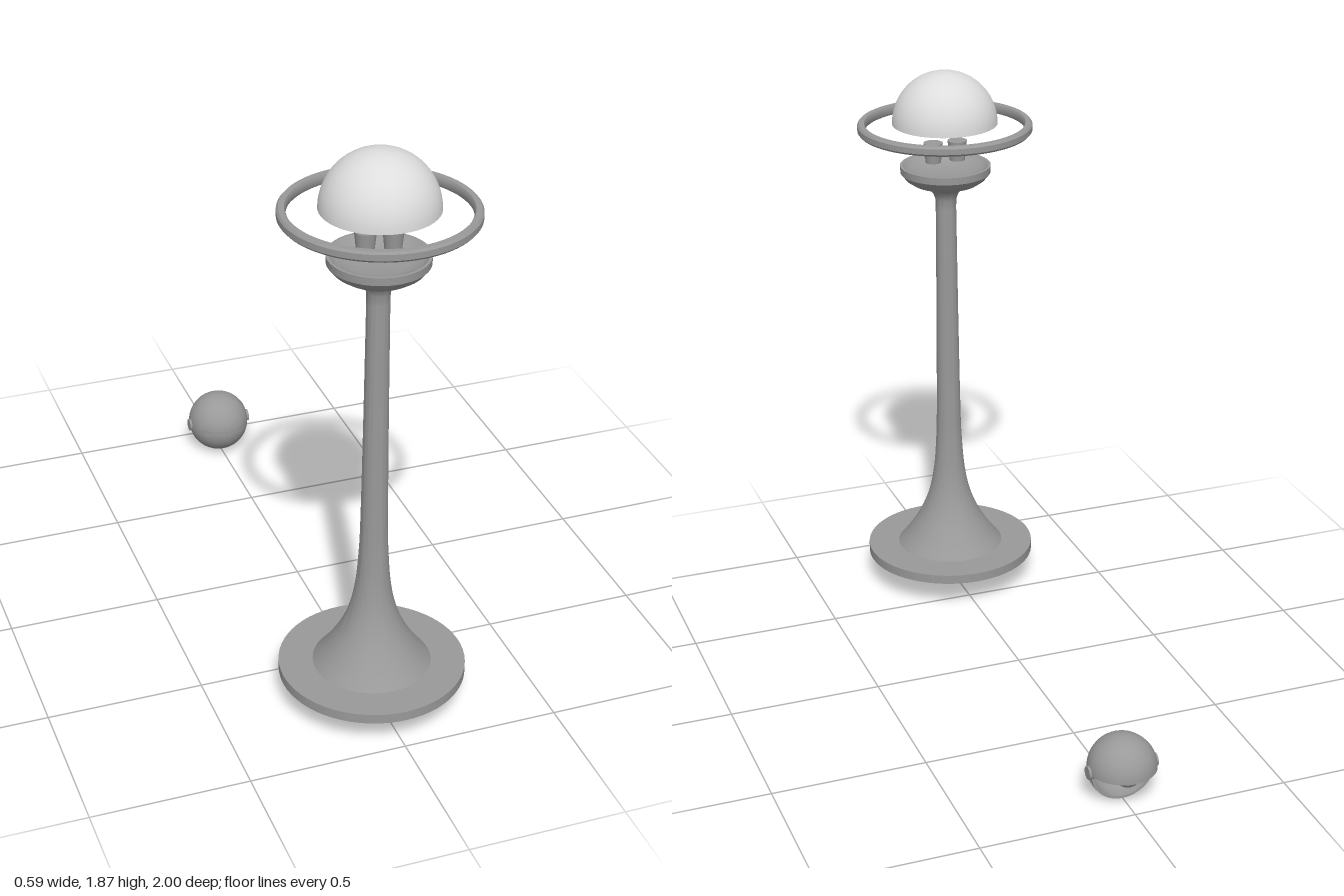
import * as THREE from 'three';
import { toCreasedNormals } from 'three/addons/utils/BufferGeometryUtils.js';

const body = new THREE.MeshStandardMaterial({ color: 0x999999, side: THREE.DoubleSide });
body.name = 'grey metal';
const glass = new THREE.MeshStandardMaterial({ color: 0xdddddd, side: THREE.DoubleSide });
glass.name = 'pale shade';

// Revolve a profile (bottom to top on the outside), keeping edges sharp
function lathe(points, segments = 64, start = 0, length = Math.PI * 2) {
  const profile = points.map(([x, y]) => new THREE.Vector2(x, y));
  return toCreasedNormals(new THREE.LatheGeometry(profile, segments, start, length), 0.6);
}

// Hollow hemisphere opening downwards, or a slice of one
function shell(radius, thickness, start, length) {
  const inner = radius - thickness, n = 16;
  const points = [[inner, 0]];
  const arc = (r, t) => [r * Math.cos(t), r * Math.sin(t)];
  for (let i = 0; i <= n; i++) points.push(arc(radius, (i / n) * Math.PI / 2));
  for (let i = n; i >= 0; i--) points.push(arc(inner, (i / n) * Math.PI / 2));
  return lathe(points, 48, start, length);
}

function add(group, name, geometry, material, x = 0, y = 0, z = 0) {
  const mesh = new THREE.Mesh(geometry, material);
  mesh.name = name;
  mesh.position.set(x, y, z);
  group.add(mesh);
  return mesh;
}

function createTallLamp() {
  const lamp = new THREE.Group();
  lamp.name = 'tallLamp';

  // Round foot
  add(lamp, 'foot', lathe([[0, 0.1], [0.293, 0.1], [0.293, 0.132], [0, 0.132]]), body);

  // Flared column
  const flare = new THREE.SplineCurve([
    [0.187, 0.13], [0.148, 0.18], [0.105, 0.25], [0.073, 0.33], [0.055, 0.42],
    [0.046, 0.53], [0.042, 0.65], [0.038, 1.0], [0.035, 1.4],
  ].map(([x, y]) => new THREE.Vector2(x, y))).getPoints(40).map((p) => [p.x, p.y]);
  add(lamp, 'column', lathe(flare), body);

  // Shallow cup on top of the column
  add(lamp, 'cup', lathe([
    [0.035, 1.4], [0.036, 1.43], [0.044, 1.452], [0.06, 1.468], [0.085, 1.48],
    [0.113, 1.488], [0.135, 1.503], [0.153, 1.525], [0.154, 1.55],
    [0.145, 1.55], [0.125, 1.53], [0.08, 1.518], [0, 1.515],
  ]), body);

  // Pair of bulb sockets
  for (const side of [-1, 1]) {
    add(lamp, side > 0 ? 'leftSocket' : 'rightSocket',
      new THREE.CylinderGeometry(0.033, 0.026, 0.068, 32), body, side * 0.043, 1.597, 0);
  }

  // Floating ring with softened edges
  add(lamp, 'ring', lathe([
    [0.272, 1.667], [0.289, 1.667], [0.295, 1.674], [0.295, 1.693], [0.289, 1.7],
    [0.272, 1.7], [0.268, 1.693], [0.268, 1.674], [0.272, 1.667],
  ], 80), body);

  // Domed shade and the collar inside it
  add(lamp, 'shade', shell(0.178, 0.006), glass, 0, 1.696, 0);
  add(lamp, 'collar', lathe([
    [0.07, 1.685], [0.084, 1.685], [0.084, 1.7], [0.07, 1.7], [0.07, 1.685],
  ]), body);
  return lamp;
}

function createBallLamp() {
  const lamp = new THREE.Group();
  lamp.name = 'ballLamp';

  // Front half of the ball, open to the back
  add(lamp, 'frontShell', shell(0.108, 0.01).rotateX(Math.PI / 2), body);
  add(lamp, 'rim', lathe([
    [0.098, -0.014], [0.106, -0.014], [0.106, 0], [0.098, 0], [0.098, -0.014],
  ]).rotateX(Math.PI / 2), body);

  // Upper back quarter forms the visor
  add(lamp, 'visor', shell(0.109, 0.008, Math.PI / 2, Math.PI), body);

  // Bulb and side pivots
  add(lamp, 'bulb', new THREE.SphereGeometry(0.043, 32, 20), body, 0, 0, -0.044);
  for (const side of [-1, 1]) {
    add(lamp, side > 0 ? 'leftPivot' : 'rightPivot',
      new THREE.CylinderGeometry(0.021, 0.021, 0.018, 24).rotateZ(Math.PI / 2), body, side * 0.105, 0, 0);
  }
  return lamp;
}

export function createModel() {
  const model = new THREE.Group();
  model.name = 'lamps';
  const tall = createTallLamp();
  tall.position.z = 0.705;
  const ball = createBallLamp();
  ball.position.set(0, 0.11, -0.891);
  model.add(tall, ball);
  return model;
}
